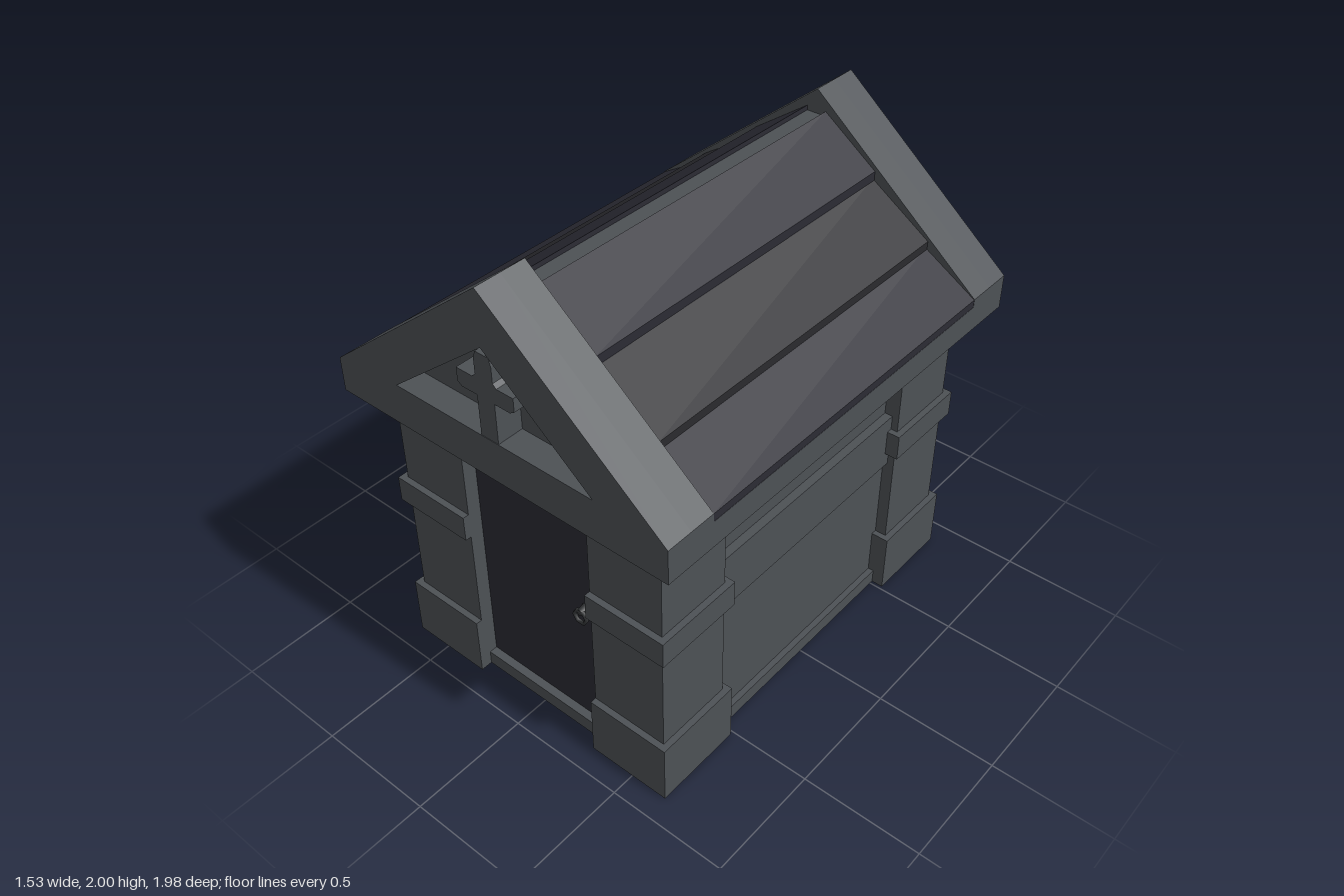
import * as THREE from 'three';

export function createModel() {
  const model = new THREE.Group();
  const material = (name, color) => {
    const m = new THREE.MeshStandardMaterial({ color });
    m.name = name;
    return m;
  };
  const stone = material('grey stone', 0x4d5155);
  const slateBlue = material('blue slate', 0x2b2b34);
  const slateGrey = material('grey slate', 0x2a2a2e);
  const iron = material('dark iron', 0x303234);

  const add = (name, geometry, mat, parent = model) => {
    const mesh = new THREE.Mesh(geometry, mat);
    mesh.name = name;
    parent.add(mesh);
    return mesh;
  };
  // Box given by its limits on each axis
  const block = (name, [x0, x1], [y0, y1], [z0, z1], mat = stone, parent = model) => {
    const mesh = add(name, new THREE.BoxGeometry(x1 - x0, y1 - y0, z1 - z0), mat, parent);
    mesh.position.set((x0 + x1) / 2, (y0 + y1) / 2, (z0 + z1) / 2);
    return mesh;
  };
  const outline = (points) => new THREE.Shape(points.map(([x, y]) => new THREE.Vector2(x, y)));
  // Profile in x and y, pushed from z0 to z1
  const prism = (name, shape, z0, z1, mat = stone, parent = model) => {
    const geometry = new THREE.ExtrudeGeometry(shape, { depth: z1 - z0, bevelEnabled: false });
    geometry.translate(0, 0, z0);
    return add(name, geometry, mat, parent);
  };
  // Flat rectangular rim standing on the ground, open in the middle
  const groundRim = (name, [x0, x1], [z0, z1], width, height, parent = model) => {
    const rect = (i) => outline([[x0 + i, z0 + i], [x1 - i, z0 + i], [x1 - i, z1 - i], [x0 + i, z1 - i]]);
    const shape = rect(0);
    shape.holes.push(rect(width));
    const rim = prism(name, shape, 0, height, stone, parent);
    rim.rotation.x = Math.PI / 2;
    rim.position.y = height;
  };

  // Wall courses, the middle one standing proud
  groundRim('sillRim', [-0.61, 0.61], [-0.85, 0.85], 0.04, 0.025);
  block('sill', [-0.61, 0.61], [0.025, 0.062], [-0.85, 0.85]);
  block('lowerWall', [-0.585, 0.585], [0.06, 0.642], [-0.825, 0.79]);
  block('wallBand', [-0.605, 0.605], [0.642, 0.882], [-0.845, 0.79]);
  block('upperWall', [-0.57, 0.57], [0.882, 1.24], [-0.81, 0.79]);

  // Corner pillars with collars and hollow feet
  for (const sx of [-1, 1]) {
    for (const sz of [-1, 1]) {
      const pillar = new THREE.Group();
      pillar.name = 'cornerPillar';
      model.add(pillar);
      const span = (s, a, b) => (s > 0 ? [a, b] : [-b, -a]);
      const xs = span(sx, sz > 0 ? 0.303 : 0.28, 0.66);
      const zs = span(sz, 0.515, 0.9);
      block('pillarShaft', span(sx, 0.303, 0.634), [0.2, 1.24], span(sz, 0.54, 0.874), stone, pillar);
      block('pillarCollar', xs, [0.707, 0.818], zs, stone, pillar);
      block('pillarBase', xs, [0.025, 0.263], zs, stone, pillar);
      groundRim('footRim', xs, zs, 0.075, 0.025, pillar);
    }
  }

  // Door and handle
  block('door', [-0.303, 0.303], [0.062, 1.24], [0.79, 0.815], slateBlue);
  const handle = new THREE.Group();
  handle.name = 'doorHandle';
  handle.position.set(0.222, 0.615, 0.815);
  model.add(handle);
  add('handleStem', new THREE.CylinderGeometry(0.014, 0.02, 0.04, 8).rotateX(Math.PI / 2), iron, handle)
    .position.set(0, 0.022, 0.015);
  add('handleRing', new THREE.TorusGeometry(0.03, 0.008, 6, 6), iron, handle).position.z = 0.03;

  // Eaves slab and roof core with a flat ridge
  const roofEnd = 0.772;
  block('eaves', [-0.765, 0.765], [1.236, 1.345], [-roofEnd, roofEnd]);
  prism('roofCore', outline([[-0.74, 1.34], [0.74, 1.34], [0.045, 1.9], [-0.045, 1.9]]), -roofEnd, roofEnd);

  // Overlapping slate courses on both slopes
  const courses = [
    [0.042, 1.92, 0.282, 1.75, slateBlue],
    [0.275, 1.717, 0.54, 1.545, slateGrey],
    [0.533, 1.515, 0.764, 1.378, slateBlue],
  ];
  for (const s of [-1, 1]) {
    for (const [x0, y0, x1, y1, mat] of courses) {
      prism('roofSlate', outline([[s * x0, y0], [s * x1, y1], [s * x1, y1 - 0.038], [s * x0, y0 - 0.04]]),
        -roofEnd, roofEnd, mat);
    }
  }

  // Gable ends with a sunk triangle and a cross, same at front and back
  const gablePoints = [[-0.765, 1.236], [0.765, 1.236], [0.765, 1.38], [0, 2], [-0.765, 1.38]];
  const half = [[0.04, 1.405], [0.04, 1.572], [0.11, 1.572], [0.13, 1.585], [0.13, 1.64],
    [0.055, 1.64], [0.04, 1.655], [0.04, 1.72], [0.03, 1.75]];
  const cross = outline([...half, ...half.map(([x, y]) => [-x, y]).reverse()]);
  for (const turn of [0, Math.PI]) {
    const gable = new THREE.Group();
    gable.name = turn ? 'backGable' : 'frontGable';
    gable.rotation.y = turn;
    model.add(gable);
    const frame = outline(gablePoints);
    frame.holes.push(outline([[-0.457, 1.407], [0.457, 1.407], [0, 1.777]]));
    prism('gableFrame', frame, 0.88, 0.99, stone, gable);
    prism('gableWall', outline(gablePoints), roofEnd, 0.88, stone, gable);
    prism('gableCross', cross, 0.88, 0.988, stone, gable);
  }
  return model;
}
